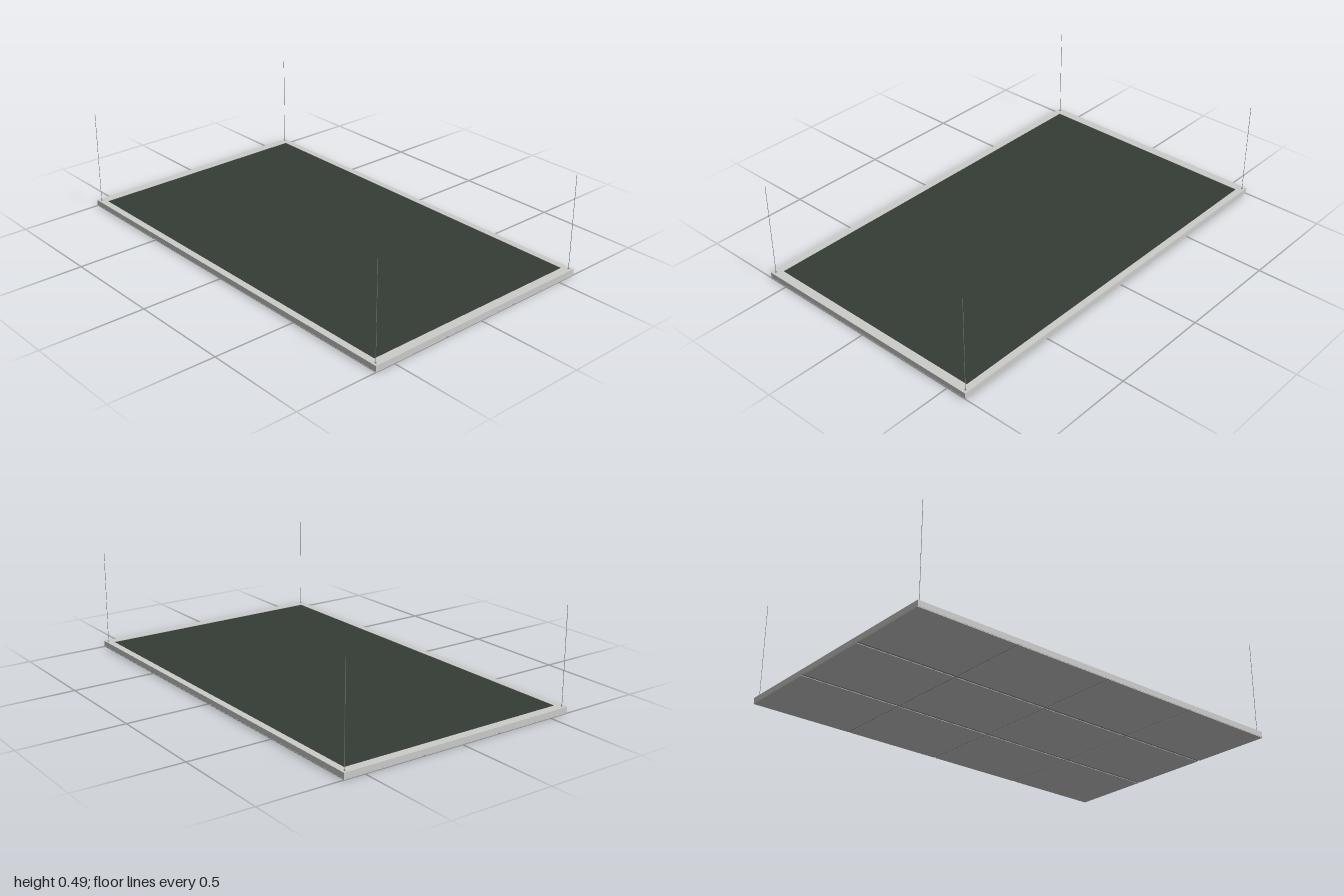
import * as THREE from 'three';

const material = (name, color) => {
  const m = new THREE.MeshStandardMaterial({ color });
  m.name = name;
  return m;
};

export function createModel() {
  const frameGrey = material('frame light grey', 0xcccdca);
  const tileGrey = material('tile grey', 0xcbcbcb);
  const seamGrey = material('seam grey', 0x9c9c9c);
  const darkGreen = material('dark green panel', 0x353c35);
  const wireGrey = material('wire grey', 0x858585);

  const model = new THREE.Group();
  model.name = 'suspendedPanel';

  const add = (name, geometry, mat, x = 0, y = 0, z = 0, parent = model) => {
    const mesh = new THREE.Mesh(geometry, mat);
    mesh.name = name;
    mesh.position.set(x, y, z);
    parent.add(mesh);
    return mesh;
  };

  // Rectangular frame with an open centre
  const rectangle = (path, w, d) => path
    .moveTo(-w, -d).lineTo(w, -d).lineTo(w, d).lineTo(-w, d).closePath();
  const outline = rectangle(new THREE.Shape(), 1, 0.6);
  outline.holes.push(rectangle(new THREE.Path(), 0.956, 0.567));
  const frame = new THREE.ExtrudeGeometry(outline, { depth: 0.026, bevelEnabled: false });
  frame.rotateX(-Math.PI / 2);
  add('frame', frame, frameGrey, 0, 0.004, 0);

  // Dark inlay, just below the frame's upper face
  add('topPanel', new THREE.BoxGeometry(1.912, 0.023, 1.134), darkGreen, 0, 0.0165, 0);

  // Backing seen through the seams between the underside tiles
  add('seamBacking', new THREE.BoxGeometry(1.998, 0.002, 1.198), seamGrey, 0, 0.003, 0);

  // Four by three tiles on the underside, flush with the outer edges
  const tiles = new THREE.Group();
  tiles.name = 'undersideTiles';
  model.add(tiles);
  const gapX = 0.008, gapZ = 0.014;
  const w = (2 - 3 * gapX) / 4, d = (1.2 - 2 * gapZ) / 3;
  const tile = new THREE.BoxGeometry(w, 0.003, d);
  for (let i = 0; i < 4; i++) {
    for (let j = 0; j < 3; j++) {
      add('undersideTile', tile, tileGrey,
        (i - 1.5) * (w + gapX), 0.0015, (j - 1) * (d + gapZ), tiles);
    }
  }

  // Hanging wires with small fixings at the corners
  const wire = new THREE.CylinderGeometry(0.001, 0.001, 0.455, 8);
  const fixing = new THREE.CylinderGeometry(0.004, 0.004, 0.003, 12);
  for (const x of [-0.983, 0.983]) {
    for (const z of [-0.585, 0.585]) {
      add('hangingWire', wire, wireGrey, x, 0.2575, z);
      add('wireFixing', fixing, wireGrey, x, 0.031, z);
    }
  }
  return model;
}
